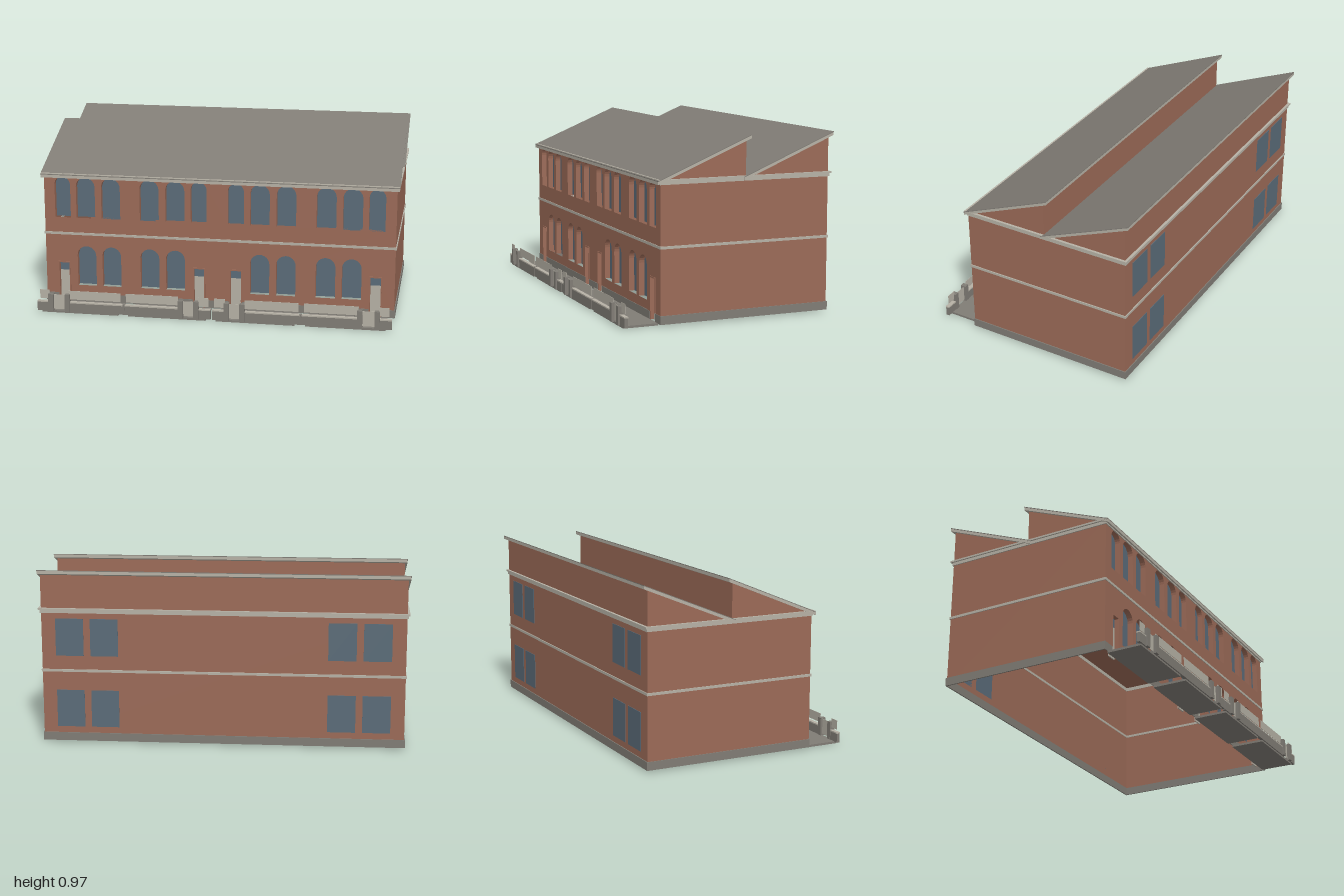
import * as THREE from 'three';

const mat = (name, color, side = THREE.FrontSide) => {
  const m = new THREE.MeshStandardMaterial({ color, side });
  m.name = name;
  return m;
};

export function createModel() {
  const root = new THREE.Group();
  root.name = 'building';
  const brick = mat('brick', 0x9b6a57, THREE.DoubleSide);
  const stone = mat('pale stone', 0xb6b1a5, THREE.DoubleSide);
  const grey = mat('grey slate', 0x807c75);
  const glass = mat('window glass', 0x5a6b78, THREE.DoubleSide);

  const add = (name, geo, material) => {
    const m = new THREE.Mesh(geo, material);
    m.name = name;
    root.add(m);
    return m;
  };
  // Box given by its limits on each axis
  const box = (name, material, x0, x1, y0, y1, z0, z1) =>
    add(name, new THREE.BoxGeometry(x1 - x0, y1 - y0, z1 - z0)
      .translate((x0 + x1) / 2, (y0 + y1) / 2, (z0 + z1) / 2), material);
  // The same box on both halves of the building
  const pair = (name, material, x0, x1, ...rest) => {
    box(name, material, x0, x1, ...rest);
    box(name, material, -x1, -x0, ...rest);
  };
  // Profile in z and y, extruded across the width
  const across = (name, material, points, halfWidth) => {
    const shape = new THREE.Shape(points.map(([z, y]) => new THREE.Vector2(z, y)));
    const geo = new THREE.ExtrudeGeometry(shape, { depth: 2 * halfWidth, bevelEnabled: false });
    add(name, geo.translate(0, 0, -halfWidth).rotateY(-Math.PI / 2), material);
  };

  const W = 0.985, FRONT = 0.387, BACK = -0.57, TOP = 0.75, BASE = 0.01, RECESS = 0.03;

  // Outline of a round-headed opening, from lower right over the arch to lower left
  const archPoints = (cx, y0, y1, w) => {
    const r = w / 2, pts = [new THREE.Vector2(cx + r, y0)];
    for (let i = 0; i <= 12; i++) {
      const a = Math.PI * i / 12;
      pts.push(new THREE.Vector2(cx + r * Math.cos(a), y1 - r + r * Math.sin(a)));
    }
    pts.push(new THREE.Vector2(cx - r, y0));
    return pts;
  };
  const doorPoints = (cx) => [[1, BASE + 0.002], [1, 0.235], [-1, 0.235], [-1, BASE + 0.002]]
    .map(([s, y]) => new THREE.Vector2(cx + s * 0.029, y));
  // Strip running inwards from an outline, forming jambs and head
  const reveal = (pts, z, depth) => {
    const pos = [], idx = [];
    pts.forEach((p, i) => {
      pos.push(p.x, p.y, z, p.x, p.y, z - depth);
      const k = 2 * i;
      if (i) idx.push(k - 2, k, k - 1, k, k + 1, k - 1);
    });
    const g = new THREE.BufferGeometry();
    g.setAttribute('position', new THREE.Float32BufferAttribute(pos, 3));
    g.setIndex(idx);
    const flat = g.toNonIndexed();
    flat.computeVertexNormals();
    return flat;
  };

  // Front wall with its openings
  const front = new THREE.Shape([[-W, BASE], [W, BASE], [W, TOP], [-W, TOP]]
    .map(([x, y]) => new THREE.Vector2(x, y)));
  const doors = [0.88, 0.104];
  for (const s of [-1, 1]) {
    const windows = [];
    for (const x of [0.748, 0.604, 0.384, 0.238]) {
      windows.push([s * x, 0.105, 0.335, 0.108], [s * x, 0.5, 0.733, 0.108]);
    }
    for (const x of doors) windows.push([s * x, 0.5, 0.733, 0.09]);
    for (const w of windows) {
      const pts = archPoints(...w);
      front.holes.push(new THREE.Path(pts));
      add('windowReveal', reveal(pts, FRONT, RECESS), brick);
      add('archedWindow', new THREE.ShapeGeometry(new THREE.Shape(pts))
        .translate(0, 0, FRONT - RECESS), glass);
    }
    // Doors with a light above and a thin brick surround
    for (const x of doors) {
      const cx = s * x, pts = doorPoints(cx), z = FRONT - 0.02;
      front.holes.push(new THREE.Path(pts));
      add('doorReveal', reveal(pts, FRONT, 0.02), brick);
      box('door', stone, cx - 0.029, cx + 0.029, BASE, 0.186, z - 0.006, z);
      box('doorLight', glass, cx - 0.029, cx + 0.029, 0.186, 0.235, z - 0.006, z);
      for (const k of [-1, 1]) {
        const jx = cx + k * 0.032;
        box('doorJamb', brick, jx - 0.003, jx + 0.003, 0.055, 0.235, FRONT, FRONT + 0.004);
      }
      box('doorLintel', brick, cx - 0.035, cx + 0.035, 0.235, 0.242, FRONT, FRONT + 0.004);
    }
  }
  add('frontWall', new THREE.ShapeGeometry(front).translate(0, 0, FRONT), brick);

  // Side and back walls, open underneath
  const h = TOP - BASE, d = FRONT - BACK, cy = (TOP + BASE) / 2, cz = (FRONT + BACK) / 2;
  for (const s of [-1, 1]) {
    add('sideWall', new THREE.PlaneGeometry(d, h).rotateY(s * Math.PI / 2)
      .translate(s * W, cy, cz), brick);
  }
  add('backWall', new THREE.PlaneGeometry(2 * W, h).rotateY(Math.PI).translate(0, cy, BACK), brick);
  for (const y of [0.09, 0.49]) {
    for (const x of [0.568, 0.757]) {
      pair('backWindow', glass, x, x + 0.152, y, y + 0.207, BACK - 0.003, BACK);
    }
  }

  // Bands round the walls: plinth, string course, cornice
  const band = (name, material, y0, y1, out, zf, withFront = true) => {
    pair(name + 'Side', material, W - 0.002, W + out, y0, y1, BACK - out, zf);
    box(name + 'Back', material, -W, W, y0, y1, BACK - out, BACK + 0.002);
    if (withFront) box(name + 'Front', material, -W, W, y0, y1, FRONT - 0.001, zf);
  };
  band('plinth', grey, BASE, 0.055, 0.005, 0.39, false);
  band('stringCourse', stone, 0.4, 0.414, 0.005, 0.391);
  band('cornice', stone, 0.728, 0.748, 0.006, 0.392);
  band('corniceCap', stone, 0.745, 0.755, 0.014, 0.404);
  pair('plinthFront', grey, 0.14, 0.845, BASE, 0.055, FRONT, 0.39);
  pair('plinthFrontEnd', grey, 0.915, W, BASE, 0.055, FRONT, 0.39);
  box('plinthFrontMiddle', grey, -0.07, 0.07, BASE, 0.055, FRONT, 0.39);

  // Two sawtooth roofs
  for (const o of [0, -0.48]) {
    across('gable', brick, [[0.358 + o, 0.75], [-0.09 + o, 0.75], [-0.09 + o, 0.938]], W);
    across('roofSlab', stone,
      [[0.406 + o, 0.73], [0.406 + o, 0.746], [-0.114 + o, 0.962], [-0.114 + o, 0.946]], 0.998);
    across('roofCovering', grey,
      [[0.406 + o, 0.746], [0.406 + o, 0.75], [-0.114 + o, 0.966], [-0.114 + o, 0.962]], 1);
  }

  // Forecourt paving
  for (const x of [-0.96, -0.468, 0.024, 0.516]) {
    box('paving', grey, x, x + 0.434, 0, 0.012, 0.388, 0.577);
  }

  // Garden wall: low walls with caps, railings, posts and gates
  const runs = [[0.005, 0.08], [0.18, 0.487], [0.497, 0.81], [0.91, 0.985]];
  for (const [a, b] of runs) {
    pair('lowWall', grey, a, b, BASE, 0.06, 0.566, 0.584);
    pair('lowWallCap', stone, a, b, 0.06, 0.067, 0.564, 0.586);
  }
  for (const [a, b] of [[0.015, 0.075], [0.185, 0.48], [0.51, 0.805], [0.915, 0.97]]) {
    pair('railing', stone, a, b, 0.08, 0.13, 0.574, 0.576);
  }
  for (const x of [0.084, 0.171, 0.812, 0.906]) {
    pair('gatePost', grey, x - 0.014, x + 0.014, BASE, 0.11, 0.563, 0.594);
  }
  for (const x of [0.1275, 0.859]) {
    pair('gate', stone, x - 0.037, x + 0.037, 0.02, 0.105, 0.574, 0.576);
  }
  pair('wallPier', grey, 0.485, 0.499, BASE, 0.068, 0.565, 0.585);
  return root;
}
